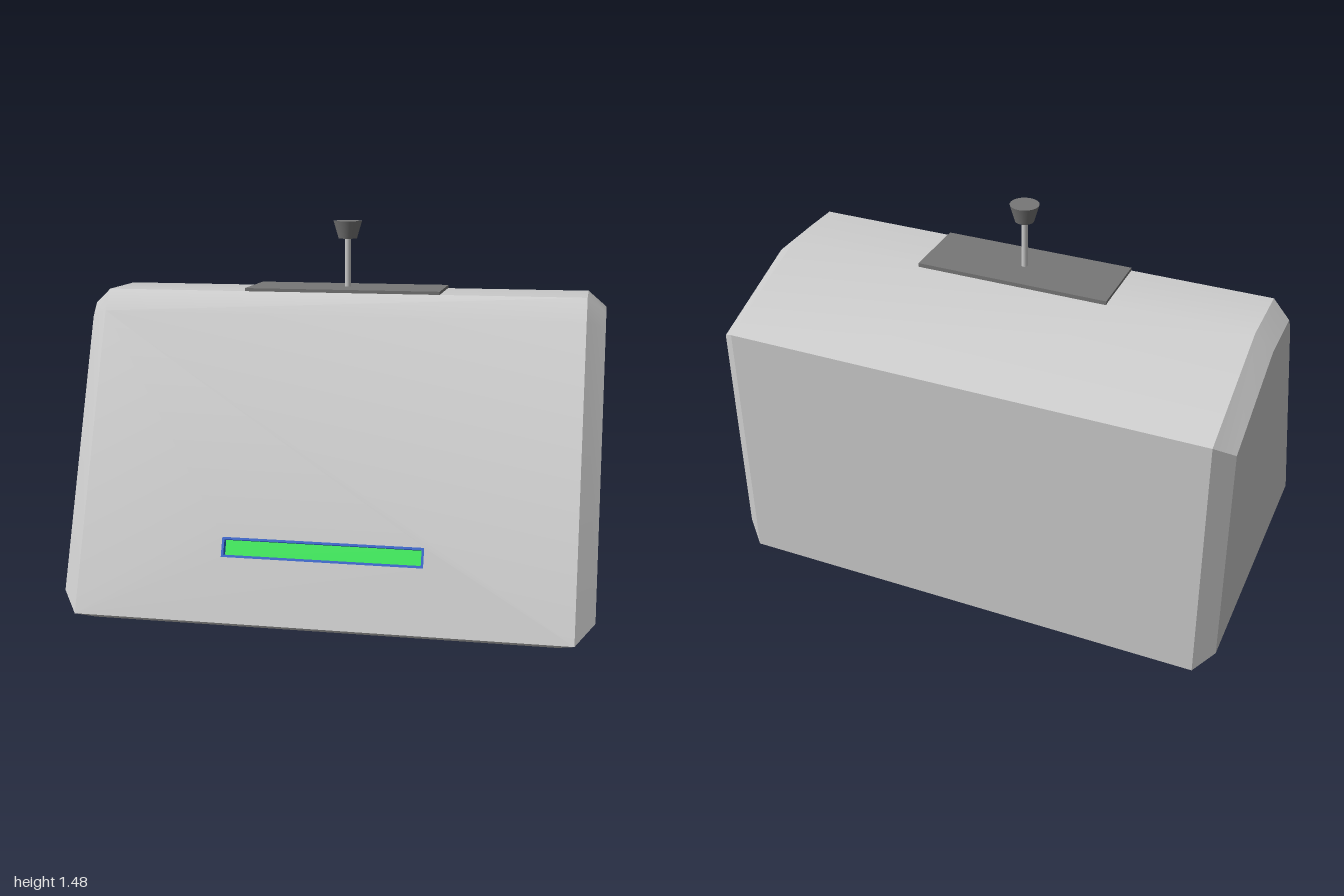
import * as THREE from 'three';
import { mergeGeometries, toCreasedNormals } from 'three/addons/utils/BufferGeometryUtils.js';

const GREY = 0xcccccc, DARK = 0x777777, BLUE = 0x2a62d0, GREEN = 0x2ff055;

// Side profile as [z, y]: full width profile and the smaller one of the end caps
const OUTER = [[0.62, 0.03], [0.2, 1.13], [0.14, 1.21], [-0.13, 1.21], [-0.62, 1.04], [-0.62, 0.03]];
const CAP = [[0.535, 0.09], [0.15, 1.1], [0.11, 1.15], [-0.13, 1.15], [-0.56, 0.99], [-0.56, 0.09]];
const X_OUTER = 0.93, X_CAP = 1;

// Sloping front panel: local x/y lie in the slope, z points out of it
const SLOPE_Z = OUTER[0][0] - OUTER[1][0], SLOPE_Y = OUTER[1][1] - OUTER[0][1];
const TILT = Math.atan2(SLOPE_Z, SLOPE_Y), SLOPE_LENGTH = Math.hypot(SLOPE_Z, SLOPE_Y);
const SLOT = { x: 0.38, bottom: 0.243, top: 0.318, rim: 0.009, depth: 0.03 };

function rectangle(Type, x, bottom, top) {
  return new Type([[-x, bottom], [x, bottom], [x, top], [-x, top]].map(p => new THREE.Vector2(...p)));
}

function part(name, geometry, color) {
  const mesh = new THREE.Mesh(geometry, new THREE.MeshStandardMaterial({ color }));
  mesh.name = name;
  return mesh;
}

function bodyGeometry() {
  const positions = [];
  const centre = new THREE.Vector3(0, 0.6, 0);

  // Convex polygon as a fan, wound to face away from the centre
  function face(...points) {
    const v = points.map(p => new THREE.Vector3(...p));
    const normal = v[1].clone().sub(v[0]).cross(v[2].clone().sub(v[0]));
    if (normal.dot(v[0].clone().sub(centre)) < 0) v.reverse();
    for (let i = 1; i < v.length - 1; i++) {
      for (const q of [v[0], v[i], v[i + 1]]) positions.push(q.x, q.y, q.z);
    }
  }
  const at = (profile, i, x) => [x, profile[i % 6][1], profile[i % 6][0]];

  // Top and back bands across the full width
  for (let i = 1; i < 5; i++) {
    face(at(OUTER, i, -X_OUTER), at(OUTER, i, X_OUTER), at(OUTER, i + 1, X_OUTER), at(OUTER, i + 1, -X_OUTER));
  }
  // Bevels and end caps
  for (const s of [-1, 1]) {
    for (let i = 0; i < 6; i++) {
      face(at(OUTER, i, s * X_OUTER), at(OUTER, i + 1, s * X_OUTER), at(CAP, i + 1, s * X_CAP), at(CAP, i, s * X_CAP));
    }
    face(...CAP.map((_, i) => at(CAP, i, s * X_CAP)));
  }
  // Underside with its bevelled rim
  const ring = (x, y, z) => [[-x, y, z], [x, y, z], [x, y, -z], [-x, y, -z]];
  const rim = ring(X_OUTER, 0.03, 0.62), foot = ring(0.87, 0, 0.56);
  for (let i = 0; i < 4; i++) face(rim[i], rim[(i + 1) % 4], foot[(i + 1) % 4], foot[i]);
  face(...foot);

  const shell = new THREE.BufferGeometry();
  shell.setAttribute('position', new THREE.Float32BufferAttribute(positions, 3));

  // Front panel with the slot opening
  const panel = rectangle(THREE.Shape, X_OUTER, 0, SLOPE_LENGTH);
  panel.holes.push(rectangle(THREE.Path, SLOT.x, SLOT.bottom, SLOT.top));
  const front = new THREE.ShapeGeometry(panel).toNonIndexed();
  front.deleteAttribute('uv');
  front.deleteAttribute('normal');
  front.rotateX(-TILT).translate(0, OUTER[0][1], OUTER[0][0]);

  return toCreasedNormals(mergeGeometries([shell, front]), 0.45);
}

function createSlot() {
  const slot = new THREE.Group();
  slot.name = 'frontSlot';
  slot.position.set(0, OUTER[0][1], OUTER[0][0]);
  slot.rotation.x = -TILT;

  // Frame lining the opening
  const { x, bottom, top, rim, depth } = SLOT;
  const outline = rectangle(THREE.Shape, x, bottom, top);
  outline.holes.push(rectangle(THREE.Path, x - rim, bottom + rim, top - rim));
  const frame = part('slotFrame', new THREE.ExtrudeGeometry(outline, { depth, bevelEnabled: false }), BLUE);
  frame.position.z = -depth;

  // Recessed strip
  const strip = part('slotStrip', new THREE.BoxGeometry(2 * x - rim, top - bottom - rim, 0.01), GREEN);
  strip.position.set(0, (bottom + top) / 2, -depth);

  slot.add(frame, strip);
  return slot;
}

export function createModel() {
  const model = new THREE.Group();
  model.name = 'model';
  model.add(part('body', bodyGeometry(), GREY), createSlot());

  // Plate on the roof
  const plate = part('topPlate', new THREE.BoxGeometry(0.76, 0.016, 0.28), DARK);
  plate.position.y = 1.214;

  // Stem and tapered knob
  const stem = part('stem', new THREE.CylinderGeometry(0.012, 0.012, 0.2, 16), GREY);
  stem.position.y = 1.315;
  const knob = part('knob', new THREE.CylinderGeometry(0.056, 0.036, 0.068, 20), DARK);
  knob.position.y = 1.444;

  model.add(plate, stem, knob);
  return model;
}
